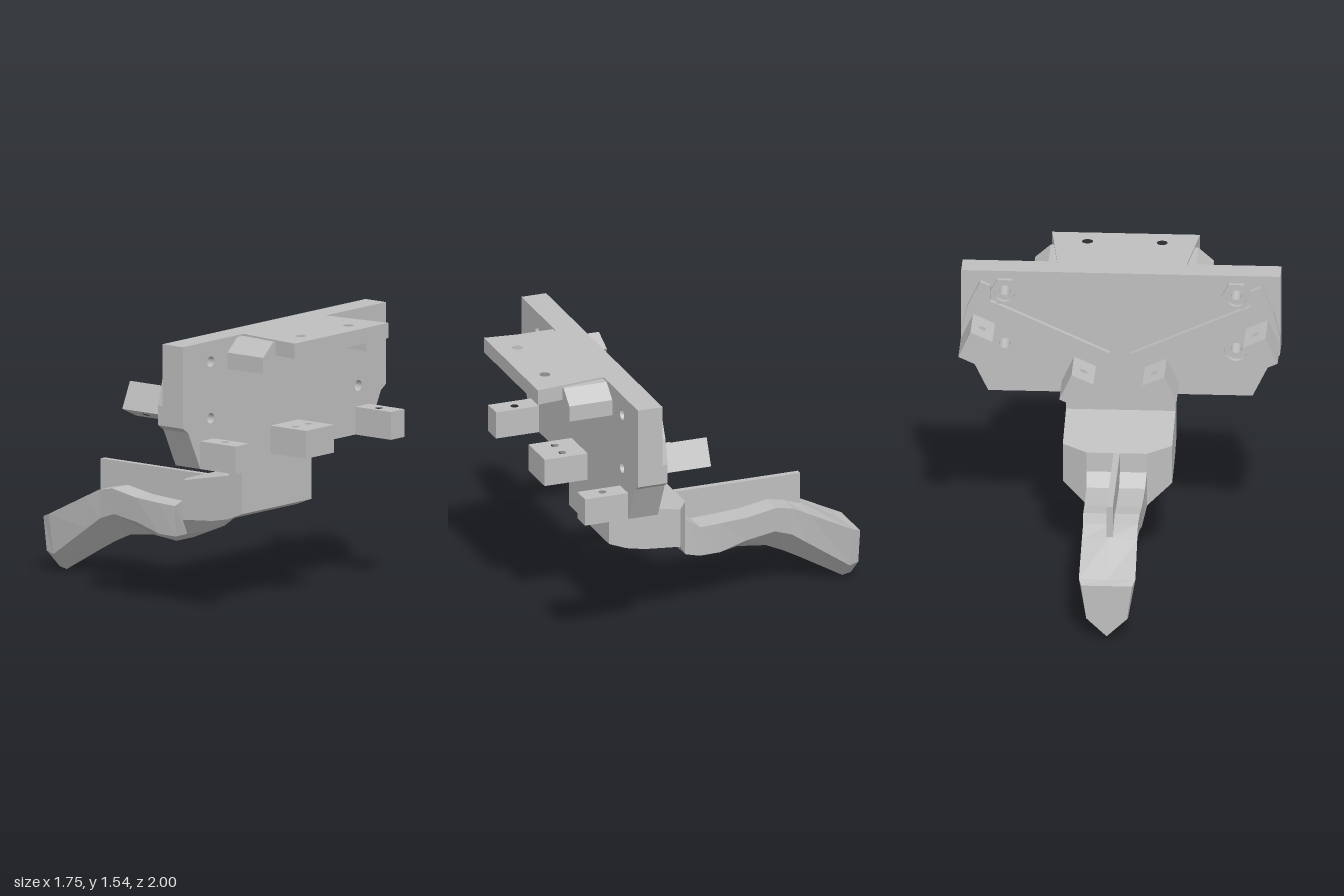
import * as THREE from 'three';

const grey = new THREE.MeshStandardMaterial({ color: 0xbfbfbf });
grey.name = 'plain grey';

function polygon(points, holes = []) {
  const shape = new THREE.Shape(points.map(p => new THREE.Vector2(...p)));
  for (const [x, y, r] of holes) {
    const hole = new THREE.Path();
    hole.absarc(x, y, r, 0, Math.PI * 2, true);
    shape.holes.push(hole);
  }
  return shape;
}

// Straight extrusion from z0 to z1
function slab(shape, z0, z1) {
  const g = new THREE.ExtrudeGeometry(shape, { depth: z1 - z0, bevelEnabled: false, curveSegments: 10 });
  return g.translate(0, 0, z0);
}

// Extrusion of an (x, z) outline from y0 to y1
function deck(points, holes, y0, y1) {
  const shape = polygon(points.map(([x, z]) => [x, -z]), holes.map(([x, z, r]) => [x, -z, r]));
  return slab(shape, y0, y1).rotateX(-Math.PI / 2);
}

const rect = (x0, x1, z0, z1) => [[x0, z0], [x1, z0], [x1, z1], [x0, z1]];

// Flat-faced skin over six-sided sections running from front to back
function loft(sections) {
  const rings = sections.map(([z, topY, topW, ridgeY, sideY, sideW, keelY]) => [
    [0, ridgeY, z], [-topW, topY, z], [-sideW, sideY, z],
    [0, keelY, z], [sideW, sideY, z], [topW, topY, z]]);
  const out = [];
  const tri = (...corners) => corners.forEach(c => out.push(...c));
  for (let s = 0; s < rings.length - 1; s++) {
    const a = rings[s], b = rings[s + 1];
    for (let i = 0; i < 6; i++) {
      const j = (i + 1) % 6;
      tri(a[i], b[i], a[j]);
      tri(a[j], b[i], b[j]);
    }
  }
  const first = rings[0], last = rings[rings.length - 1];
  for (let i = 1; i < 5; i++) {
    tri(first[0], first[i], first[i + 1]);
    tri(last[0], last[i + 1], last[i]);
  }
  const g = new THREE.BufferGeometry();
  g.setAttribute('position', new THREE.Float32BufferAttribute(out, 3));
  g.computeVertexNormals();
  return g;
}

export function createModel() {
  const model = new THREE.Group();
  const add = (name, geometry) => {
    const mesh = new THREE.Mesh(geometry, grey);
    mesh.name = name;
    model.add(mesh);
    return mesh;
  };
  const mirrorX = (points, s) => points.map(([x, ...rest]) => [x * s, ...rest]);

  // Main upright plate with four bolt holes
  const half = [[0.725, 0.845], [0.83, 1.06], [0.875, 1.09], [0.875, 1.545]];
  const outline = [...half, ...mirrorX(half, -1).reverse()];
  const bolts = [];
  for (const x of [-0.635, 0.635]) for (const y of [1.115, 1.43]) bolts.push([x, y, 0.03]);
  add('mainPlate', slab(polygon(outline, bolts), 0.45, 0.595));

  // Flared shelf on the front
  add('shelf', deck([[-0.355, 0.59], [0.355, 0.59], [0.405, 1], [-0.405, 1]],
    [[-0.205, 0.88, 0.03], [0.205, 0.88, 0.03]], 1.46, 1.545));

  // Drilled lugs along the lower front
  add('centreLug', deck(rect(-0.12, 0.12, 0.59, 0.848),
    [[-0.055, 0.72, 0.022], [0.055, 0.72, 0.022]], 0.845, 1));

  for (const s of [1, -1]) {
    const side = s > 0 ? 'left' : 'right';
    const x0 = Math.min(s * 0.61, s * 0.727), x1 = Math.max(s * 0.61, s * 0.727);
    add(side + 'Lug', deck(rect(x0, x1, 0.59, 0.848), [[s * 0.66, 0.72, 0.022]], 0.845, 1));

    // Sloped gusset beside the shelf
    add(side + 'Gusset', slab(polygon(mirrorX(
      [[0.4, 1.37], [0.49, 1.37], [0.49, 1.46], [0.405, 1.535], [0.36, 1.535], [0.36, 1.46], [0.4, 1.46]], s)), 0.59, 0.848));

    // Slanted raised pad on the back
    const pad = [[0.06, 1.08], [0.6, 1.325], [0.715, 1.375], [0.715, 1.465], [0.77, 1.49],
      [0.84, 1.34], [0.875, 1.2], [0.875, 1.09], [0.83, 1.06], [0.725, 0.845], [0.165, 0.845]];
    add(side + 'BackPad', slab(polygon(mirrorX(pad, s), [[s * 0.635, 1.115, 0.065]]), 0.42, 0.455));

    // Hexagonal nut seat around the upper bolt
    const hex = [];
    for (let i = 0; i < 6; i++) {
      const a = i * Math.PI / 3;
      hex.push([s * 0.635 + 0.082 * Math.cos(a), 1.43 + 0.082 * Math.sin(a)]);
    }
    add(side + 'NutSeat', slab(polygon(hex, [[s * 0.635, 1.43, 0.058]]), 0.425, 0.455));

    // Tilted drilled blocks on the pad
    for (const [name, x, y] of [['OuterBlock', 0.782, 1.197], ['InnerBlock', 0.228, 0.955]]) {
      const block = add(side + name, deck(rect(-0.066, 0.066, 0.165, 0.43), [[0, 0.285, 0.022]], -0.081, 0.081));
      block.position.set(s * x, y, 0);
      block.rotation.z = s * 0.425;
    }
  }

  // Neck below the plate, drawn in profile
  const neck = [[0.54, 0.9], [0.45, 0.9], [0.45, 0.73], [0.12, 0.665], [0.12, 0.445],
    [0.33, 0.463], [0.44, 0.485], [0.54, 0.525]];
  add('neck', slab(polygon(neck), -0.3, 0.3).rotateY(-Math.PI / 2));

  // Tapered shoulder and curved keeled tail: z, topY, topW, ridgeY, sideY, sideW, keelY
  add('tail', loft([
    [0.12, 0.665, 0.3, 0.665, 0.445, 0.3, 0.445],
    [0.04, 0.65, 0.165, 0.65, 0.34, 0.165, 0.33],
    [0.035, 0.54, 0.165, 0.54, 0.335, 0.165, 0.325],
    [-0.05, 0.48, 0.16, 0.48, 0.31, 0.155, 0.285],
    [-0.17, 0.485, 0.16, 0.485, 0.31, 0.15, 0.25],
    [-0.33, 0.495, 0.158, 0.495, 0.355, 0.145, 0.265],
    [-0.5, 0.525, 0.155, 0.525, 0.38, 0.14, 0.245],
    [-0.6, 0.505, 0.15, 0.505, 0.345, 0.135, 0.2],
    [-0.7, 0.455, 0.152, 0.47, 0.275, 0.13, 0.145],
    [-0.95, 0.33, 0.155, 0.325, 0.1, 0.115, 0],
    [-1, 0.31, 0.14, 0.31, 0.115, 0.112, 0.01],
  ]));

  // Thin upright rib on the tail
  add('rib', new THREE.BoxGeometry(0.035, 0.19, 0.735).translate(0, 0.555, -0.3275));

  return model;
}
